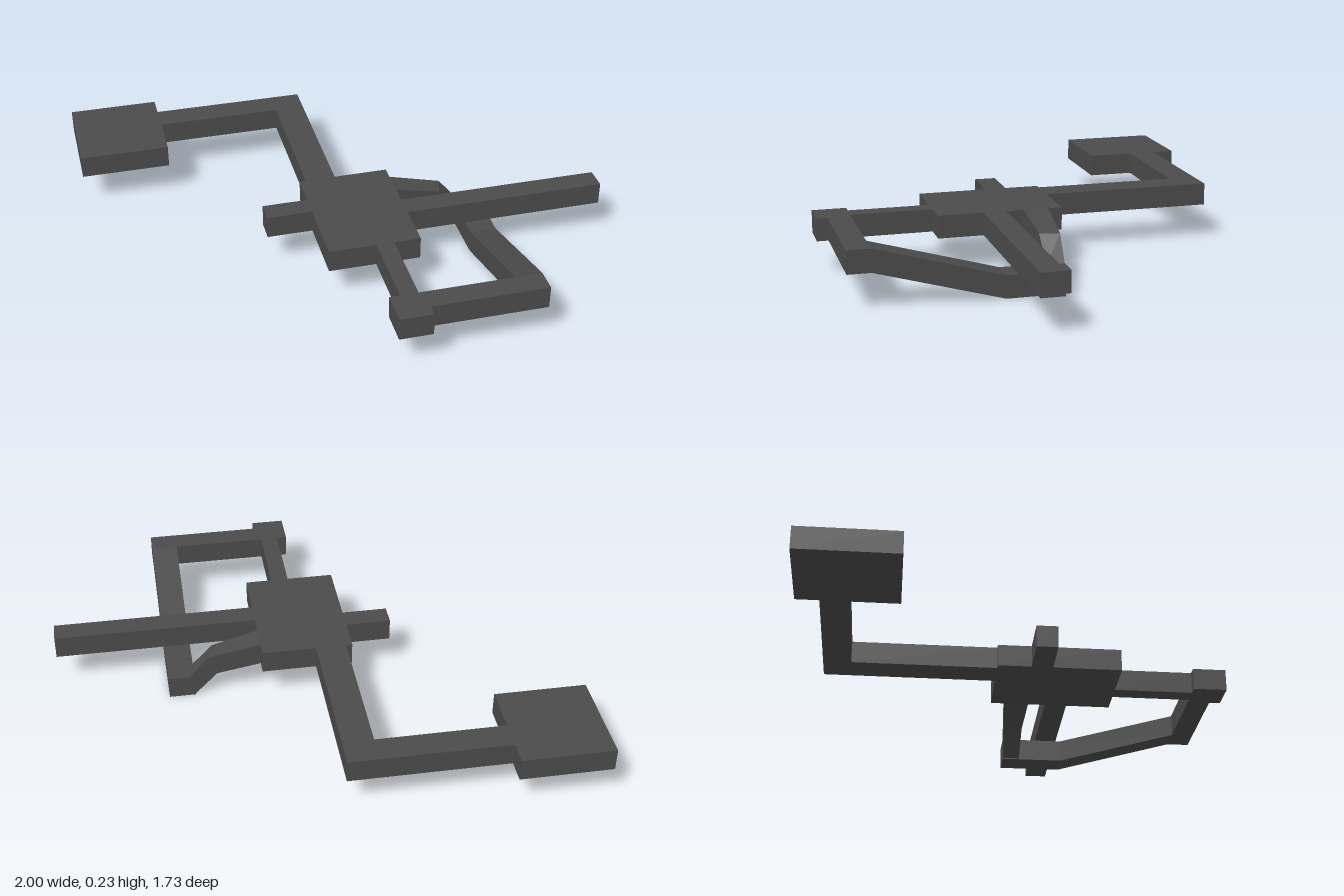
import * as THREE from 'three';

const LOW = 0.14, HIGH = 0.23;

// Solid through four-cornered sections, each counterclockwise seen from the far end
function loft(sections) {
  const pos = [];
  const quad = (a, b, c, d) => pos.push(...a, ...b, ...c, ...a, ...c, ...d);
  const first = sections[0], last = sections[sections.length - 1];
  for (let i = 0; i < sections.length - 1; i++) {
    const A = sections[i], B = sections[i + 1];
    for (let j = 0; j < 4; j++) {
      const k = (j + 1) % 4;
      quad(A[j], A[k], B[k], B[j]);
    }
  }
  quad(first[3], first[2], first[1], first[0]);
  quad(...last);
  const g = new THREE.BufferGeometry();
  g.setAttribute('position', new THREE.Float32BufferAttribute(pos, 3));
  g.computeVertexNormals();
  return g;
}

export function createModel() {
  const group = new THREE.Group();
  const charcoal = new THREE.MeshStandardMaterial({ color: 0x4b4b4b });
  charcoal.name = 'charcoal';

  const add = (name, geometry) => {
    const mesh = new THREE.Mesh(geometry, charcoal);
    mesh.name = name;
    group.add(mesh);
    return mesh;
  };

  // Level rooms and corridors: name, x range, z range
  const slabs = [
    ['backRoom', -1, -0.64, -0.865, -0.48],
    ['backCorridor', -0.64, -0.02, -0.775, -0.665],
    ['backPassage', -0.14, -0.02, -0.665, -0.09],
    ['centralHall', -0.165, 0.195, -0.09, 0.405],
    ['sideStub', -0.345, -0.165, 0.045, 0.13],
    ['longCorridor', 0.195, 1, 0.135, 0.225],
    ['frontPassage', 0.02, 0.09, 0.405, 0.725],
    ['frontRoom', -0.02, 0.11, 0.725, 0.86],
    ['frontCorridor', 0.11, 0.565, 0.725, 0.815],
  ];
  for (const [name, x0, x1, z0, z1] of slabs) {
    add(name, new THREE.BoxGeometry(x1 - x0, HIGH - LOW, z1 - z0))
      .position.set((x0 + x1) / 2, (LOW + HIGH) / 2, (z0 + z1) / 2);
  }

  // Underpass: level at the bottom, then sloping up to the front corridor
  const underpass = [[-0.018, 0], [0.23, 0], [0.725, LOW]].map(([z, y]) => [
    [0.46, y, z], [0.565, y, z], [0.565, y + 0.09, z], [0.46, y + 0.09, z],
  ]);
  add('underpass', loft(underpass));

  // Tapered ramp from the hall, bending steeply down into the underpass
  add('hallRamp', loft([
    [[0.195, LOW, 0.065], [0.195, LOW, -0.035], [0.195, HIGH, -0.035], [0.195, HIGH, 0.065]],
    [[0.37, 0.1, 0.055], [0.37, 0.1, -0.022], [0.4, 0.185, -0.022], [0.38, 0.185, 0.055]],
    [[0.462, 0.002, 0.052], [0.462, 0.002, -0.017], [0.482, 0.089, -0.017], [0.475, 0.089, 0.052]],
  ]));

  return group;
}
